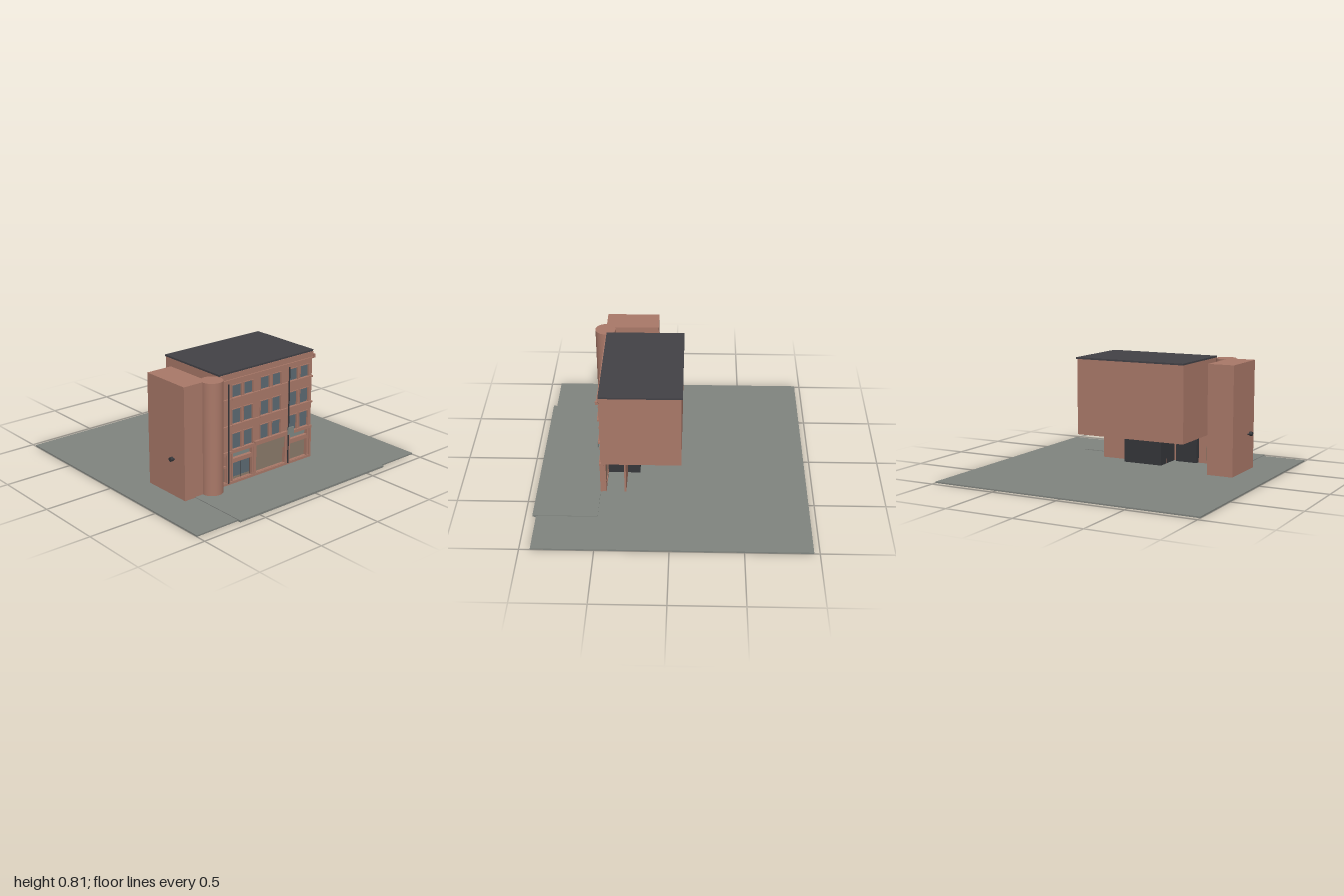
import * as THREE from 'three';

const mat = (name, color) => {
  const m = new THREE.MeshStandardMaterial({ color });
  m.name = name;
  return m;
};

export function createModel() {
  const model = new THREE.Group();
  model.name = 'cornerBuilding';

  const brick = mat('brick', 0xa97868);
  const paving = mat('paving', 0x80847f);
  const roofing = mat('roofing', 0x424146);
  const glass = mat('glass', 0x5c6a72);
  const shutter = mat('shutter', 0x8a7969);
  const metal = mat('darkMetal', 0x35363a);
  const signGrey = mat('signGrey', 0x7f8783);

  const add = (name, geometry, material, parent = model) => {
    const mesh = new THREE.Mesh(geometry, material);
    mesh.name = name;
    parent.add(mesh);
    return mesh;
  };
  // Box given by its limits on each axis
  const box = (name, material, x0, x1, y0, y1, z0, z1, parent) => {
    const g = new THREE.BoxGeometry(x1 - x0, y1 - y0, z1 - z0);
    g.translate((x0 + x1) / 2, (y0 + y1) / 2, (z0 + z1) / 2);
    return add(name, g, material, parent);
  };
  const rod = (name, material, x, y0, y1, z, r, sides = 10) => {
    const g = new THREE.CylinderGeometry(r, r, y1 - y0, sides);
    g.translate(x, (y0 + y1) / 2, z);
    return add(name, g, material);
  };
  // Wall panel with rectangular openings [x0, x1, y0, y1]
  const wall = (name, x0, x1, y0, y1, z0, z1, openings) => {
    const trace = (s, a, b, c, d) => s.moveTo(a, c).lineTo(b, c).lineTo(b, d).lineTo(a, d).closePath();
    const shape = new THREE.Shape();
    trace(shape, x0, x1, y0, y1);
    for (const o of openings) {
      const hole = new THREE.Path();
      trace(hole, ...o);
      shape.holes.push(hole);
    }
    const g = new THREE.ExtrudeGeometry(shape, { depth: z1 - z0, bevelEnabled: false });
    g.translate(0, 0, z0);
    return add(name, g, brick);
  };
  // Raised border around an opening
  const border = (name, [x0, x1, y0, y1], w, z0, z1) => {
    const g = new THREE.Group();
    g.name = name;
    model.add(g);
    box('leftJamb', brick, x0 - w, x0, y0, y1, z0, z1, g);
    box('rightJamb', brick, x1, x1 + w, y0, y1, z0, z1, g);
    box('lintel', brick, x0 - w, x1 + w, y1, y1 + w, z0, z1, g);
  };

  // Ground and pavement
  box('ground', paving, -1, 1, 0, 0.01, -0.96, 0.925);
  box('pavement', paving, -0.67, 0.665, 0.001, 0.015, 0.5, 0.95);

  // Side tower and round corner turret
  box('sideTower', brick, -0.755, -0.56, 0.01, 0.8, 0.115, 0.5);
  rod('cornerTurret', brick, -0.53, 0.01, 0.8, 0.505, 0.075, 40);
  const lampArm = new THREE.CylinderGeometry(0.006, 0.006, 0.02, 10).rotateZ(Math.PI / 2);
  add('lampArm', lampArm.translate(-0.764, 0.275, 0.39), metal);
  const lamp = new THREE.CylinderGeometry(0.015, 0.015, 0.022, 14).rotateZ(Math.PI / 2);
  add('wallLamp', lamp.translate(-0.78, 0.28, 0.39), metal);

  // Upper storeys and roof
  box('upperBody', brick, -0.46, 0.388, 0.25, 0.803, -0.07, 0.472);
  box('roof', roofing, -0.46, 0.394, 0.803, 0.815, -0.078, 0.492);

  // Upper front wall with paired windows
  const columns = [-0.345, -0.243, -0.094, 0.014, 0.168, 0.275];
  const rows = [[0.262, 0.375], [0.442, 0.547], [0.63, 0.717]];
  const windows = rows.flatMap(([y0, y1]) => columns.map((x) => [x, x + 0.08, y0, y1]));
  wall('upperFront', -0.46, 0.388, 0.25, 0.803, 0.47, 0.49, windows);
  for (const w of windows) {
    const [x0, x1, y0, y1] = w;
    box('windowGlass', glass, x0, x1, y0, y1, 0.473, 0.481);
    border('windowFrame', w, 0.004, 0.489, 0.496);
  }
  for (const [y0] of rows) {
    for (const x of [-0.35, -0.099, 0.163]) {
      box('windowSill', brick, x, x + 0.198, y0 - 0.012, y0, 0.489, 0.504);
    }
  }

  // Horizontal mouldings
  for (const y of [0.428, 0.617]) box('floorBand', brick, -0.46, 0.39, y, y + 0.012, 0.488, 0.502);
  box('shopBand', brick, -0.46, 0.39, 0.238, 0.256, 0.47, 0.503);
  box('centreHood', brick, -0.15, 0.148, 0.253, 0.272, 0.488, 0.509);
  box('corniceLower', brick, -0.46, 0.392, 0.757, 0.765, 0.488, 0.506);
  box('corniceUpper', brick, -0.46, 0.39, 0.765, 0.803, 0.488, 0.497);
  box('corniceEnd', brick, 0.386, 0.401, 0.76, 0.785, 0.49, 0.51);

  // Ground floor front with four openings
  const sideDoor = [-0.452, -0.4, 0.034, 0.22];
  const entrance = [-0.34, -0.172, 0.034, 0.235];
  const garage = [-0.132, 0.137, 0.034, 0.245];
  const shop = [0.184, 0.348, 0.034, 0.235];
  wall('groundFront', -0.46, 0.388, 0.012, 0.25, 0.458, 0.49, [sideDoor, entrance, garage, shop]);
  for (const o of [entrance, garage, shop]) border('openingFrame', o, 0.011, 0.489, 0.498);
  for (const x of [-0.395, -0.16, 0.15, 0.372]) {
    box('pilaster', brick, x, x + 0.016, 0.015, 0.24, 0.489, 0.5);
  }
  box('plinth', brick, -0.46, 0.39, 0.012, 0.032, 0.488, 0.498);

  // Side door
  box('sideDoorPanel', shutter, -0.452, -0.4, 0.034, 0.14, 0.464, 0.472);
  box('sideDoorLintel', brick, -0.455, -0.397, 0.14, 0.155, 0.464, 0.494);
  box('sideDoorInfill', brick, -0.452, -0.4, 0.155, 0.22, 0.464, 0.478);

  // Entrance with double glass doors
  for (const x of [-0.336, -0.254]) box('doorGlass', glass, x, x + 0.078, 0.05, 0.165, 0.464, 0.472);
  for (const x of [-0.34, -0.258, -0.176]) box('doorStile', metal, x, x + 0.004, 0.034, 0.165, 0.463, 0.475);
  box('doorKick', shutter, -0.34, -0.172, 0.034, 0.05, 0.463, 0.473);
  box('entranceLintel', brick, -0.345, -0.168, 0.165, 0.195, 0.462, 0.497);
  box('entranceTransom', signGrey, -0.34, -0.172, 0.195, 0.235, 0.464, 0.472);
  box('entranceLobby', metal, -0.34, -0.172, 0.015, 0.23, 0.42, 0.463);

  // Central roller shutter
  box('rollerShutter', shutter, -0.132, 0.137, 0.034, 0.245, 0.464, 0.472);
  box('shutterHood', shutter, -0.13, 0.135, 0.152, 0.245, 0.471, 0.492);
  box('backRoom', metal, -0.14, 0.165, 0.012, 0.232, 0.23, 0.463);

  // Right-hand shop
  box('shopShutter', shutter, 0.184, 0.348, 0.034, 0.17, 0.464, 0.472);
  box('shopLintel', brick, 0.18, 0.352, 0.165, 0.197, 0.462, 0.497);
  box('shopFascia', signGrey, 0.184, 0.348, 0.197, 0.235, 0.464, 0.472);

  // Inner wall below the upper storeys
  box('innerWall', brick, -0.14, 0.388, 0.012, 0.25, 0.318, 0.33);

  // Drainpipes
  rod('drainpipe', metal, -0.386, 0.03, 0.737, 0.505, 0.005);
  rod('drainpipe', metal, 0.16, 0.03, 0.737, 0.505, 0.005);
  box('cornerSeam', metal, -0.46, -0.452, 0.03, 0.803, 0.489, 0.496);

  // Projecting sign on its bracket
  box('signBracket', metal, 0.16, 0.168, 0.276, 0.284, 0.49, 0.522);
  box('signPlate', signGrey, 0.137, 0.191, 0.252, 0.305, 0.52, 0.528);

  return model;
}
